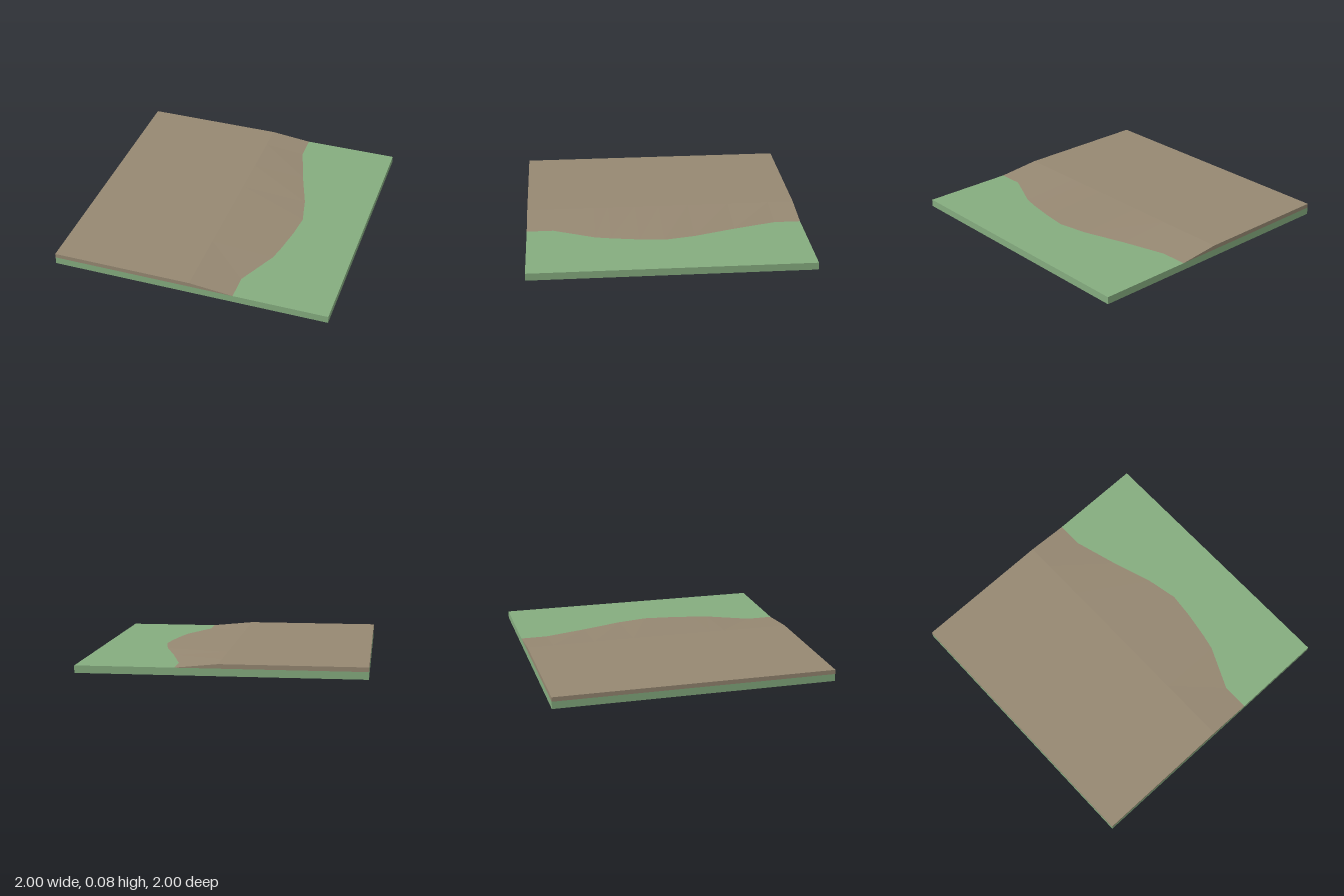
import * as THREE from 'three';

const BASE = 0.052, TOP = 0.083, CREST = 0.01;

// Shoreline of the raised ground: [z, x] from back to front
const SHORE = [
  [-1, 0.31], [-0.81, 0.31], [-0.5, 0.4], [-0.2, 0.5], [0.02, 0.545],
  [0.2, 0.525], [0.4, 0.49], [0.51, 0.465], [0.81, 0.325], [1, 0.325],
];

// Raised layer: one cross-section per shoreline point, joined into strips
function raisedGeometry() {
  const sections = SHORE.map(([z, x]) => [
    [-1, BASE, z], [-1, TOP, z], [CREST, TOP, z], [x, BASE, z],
  ]);
  const pos = [];
  const quad = (a, b, c, d) => pos.push(...a, ...b, ...c, ...a, ...c, ...d);
  for (let i = 0; i < sections.length - 1; i++) {
    const p = sections[i], q = sections[i + 1];
    for (let j = 0; j < 3; j++) quad(p[j], q[j], q[j + 1], p[j + 1]);
  }
  // End faces
  const back = sections[0], front = sections[sections.length - 1];
  quad(back[0], back[1], back[2], back[3]);
  quad(front[3], front[2], front[1], front[0]);
  const geo = new THREE.BufferGeometry();
  geo.setAttribute('position', new THREE.Float32BufferAttribute(pos, 3));
  geo.computeVertexNormals();
  return geo;
}

export function createModel() {
  const grass = new THREE.MeshStandardMaterial({ color: 0x85ac7f });
  grass.name = 'grassGreen';
  const earth = new THREE.MeshStandardMaterial({ color: 0x968872 });
  earth.name = 'earthBrown';

  const group = new THREE.Group();
  group.name = 'groundTile';

  // Flat square slab
  const slab = new THREE.Mesh(new THREE.BoxGeometry(2, BASE, 2), grass);
  slab.name = 'grassSlab';
  slab.position.y = BASE / 2;
  group.add(slab);

  // Raised earth sloping down to the shoreline
  const raised = new THREE.Mesh(raisedGeometry(), earth);
  raised.name = 'raisedEarth';
  group.add(raised);

  return group;
}
